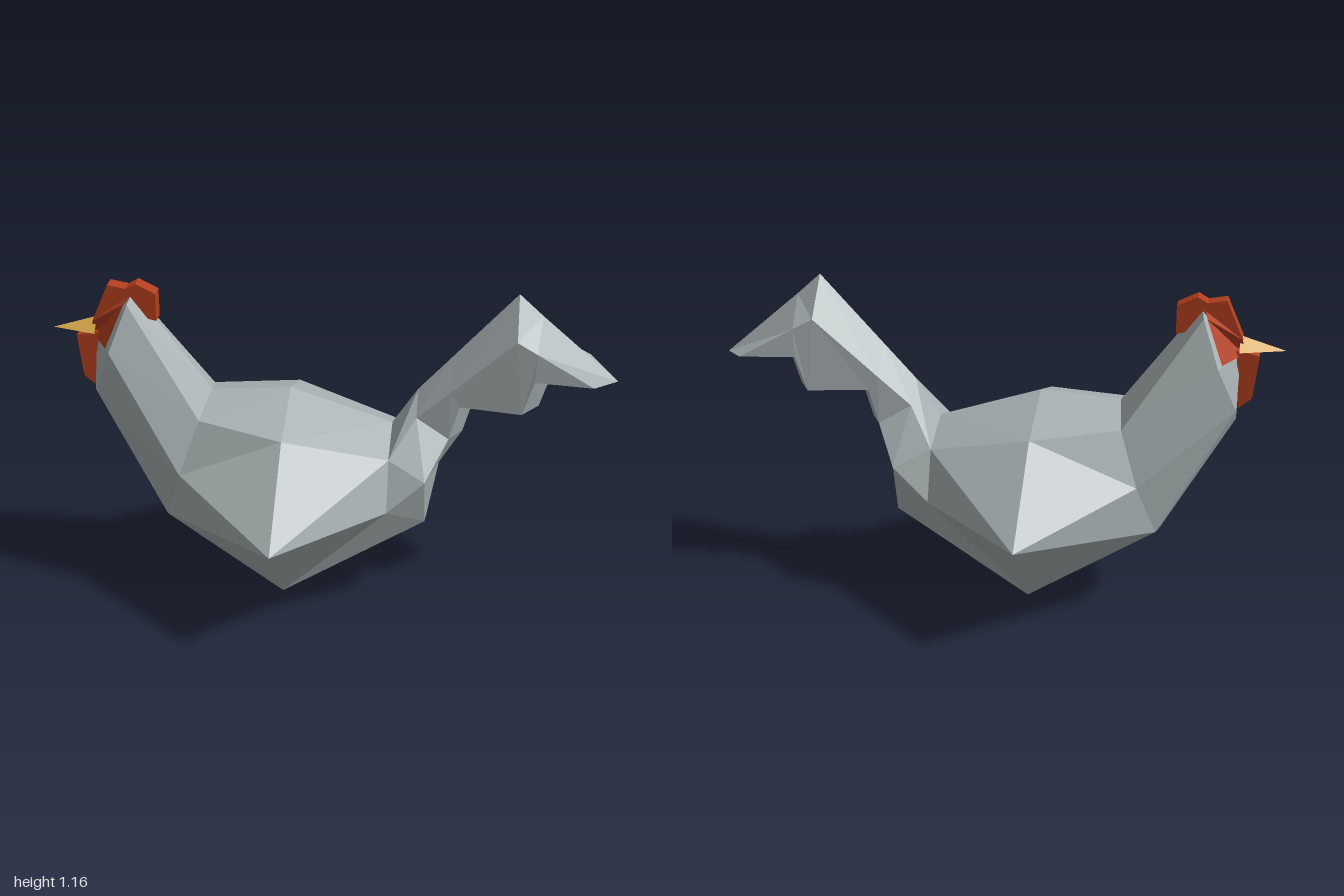
import * as THREE from 'three';

const mat = (name, color) => {
  const m = new THREE.MeshStandardMaterial({ color, flatShading: true });
  m.name = name;
  return m;
};

// Faceted mesh from +z half polygons (counter-clockwise), mirrored across z = 0
function mirrored(name, polys, material) {
  const pos = [];
  const tri = (a, b, c) => {
    const [p, q, r] = [a, b, c].map((v) => new THREE.Vector3(...v));
    if (q.clone().sub(p).cross(r.clone().sub(p)).length() < 1e-6) return;
    pos.push(...a, ...b, ...c);
    for (const [x, y, z] of [a, c, b]) pos.push(x, y, -z);
  };
  for (const p of polys) for (let i = 1; i < p.length - 1; i++) tri(p[0], p[i], p[i + 1]);
  const g = new THREE.BufferGeometry();
  g.setAttribute('position', new THREE.Float32BufferAttribute(pos, 3));
  g.computeVertexNormals();
  const mesh = new THREE.Mesh(g, material);
  mesh.name = name;
  return mesh;
}

// Quads between half sections; sections run along +x, points run bottom to top
function loft(sections) {
  const polys = [];
  for (let i = 0; i < sections.length - 1; i++) {
    const [s, t] = [sections[i], sections[i + 1]];
    for (let j = 0; j < s.length - 1; j++) polys.push([s[j], t[j], t[j + 1], s[j + 1]]);
  }
  return polys;
}

// Flat plate cut from an outline in the xy plane
function plate(name, outline, depth, material) {
  const shape = new THREE.Shape(outline.map((p) => new THREE.Vector2(...p)));
  const g = new THREE.ExtrudeGeometry(shape, { depth, bevelEnabled: false });
  g.translate(0, 0, -depth / 2);
  const mesh = new THREE.Mesh(g, material);
  mesh.name = name;
  return mesh;
}

export function createModel() {
  const feather = mat('greyFeather', 0xa8b1b2);
  const red = mat('combRed', 0xb23e1e);
  const gold = mat('beakGold', 0xdaaa4c);
  const group = new THREE.Group();
  group.name = 'hen';

  // Body: face point, neck, chest, widest section, rump
  const facePoint = [-0.845, 0.95, 0];
  const neck = [[-0.84, 0.71, 0], [-0.84, 0.77, 0.08], [-0.775, 0.93, 0.13], [-0.715, 1.09, 0.068], [-0.705, 1.12, 0]];
  const chest = [[-0.59, 0.27, 0], [-0.585, 0.32, 0.15], [-0.52, 0.52, 0.235], [-0.455, 0.705, 0.17], [-0.435, 0.755, 0]];
  const belly = [[-0.15, 0, 0], [-0.15, 0.095, 0.27], [-0.15, 0.415, 0.605], [-0.15, 0.685, 0.27], [-0.15, 0.775, 0]];
  const rump = [[0.345, 0.29, 0], [0.345, 0.34, 0.15], [0.215, 0.415, 0.245], [0.215, 0.59, 0.18], [0.215, 0.655, 0]];

  // Tail sections: under centre, lower side, upper side, ridge
  const tailRoot = [[0.385, 0.505, 0], [0.345, 0.525, 0.215], rump[3], rump[4]];
  const tip = [0.91, 0.885, 0.15], tipEnd = [1, 0.85, 0];
  const tail = [
    tailRoot,
    [[0.465, 0.635, 0], [0.42, 0.645, 0.1], [0.305, 0.715, 0.085], [0.305, 0.79, 0]],
    [[0.505, 0.77, 0], [0.455, 0.77, 0.1], [0.42, 0.82, 0.098], [0.42, 0.915, 0]],
    [[0.73, 0.745, 0], [0.67, 0.765, 0.13], [0.645, 1.03, 0.125], [0.645, 1.16, 0]],
    [[0.77, 0.87, 0], [0.71, 0.89, 0.135], [0.715, 0.992, 0.132], [0.73, 1.083, 0]],
    [tipEnd, tip, tip, tipEnd],
  ];

  // Rump faces closing the body under the tail
  const rumpFaces = [
    [rump[2], rump[1], tailRoot[1]],
    [rump[2], tailRoot[1], rump[3]],
    [rump[0], tailRoot[0], tailRoot[1], rump[1]],
  ];
  const bodyFaces = loft([neck.map(() => facePoint), neck, chest, belly, rump]);
  group.add(mirrored('body', [...bodyFaces, ...rumpFaces], feather));
  group.add(mirrored('tail', loft(tail), feather));

  // Red face around the beak
  group.add(mirrored('face', loft([
    [[-0.855, 0.95, 0], [-0.85, 1.01, 0.03], [-0.79, 1.13, 0]],
    [[-0.787, 0.945, 0.123], [-0.727, 1.09, 0.065], [-0.715, 1.12, 0]],
  ]), red));

  // Comb and wattle
  group.add(plate('comb', [[-0.85, 1.01], [-0.72, 1.04], [-0.62, 1.02], [-0.62, 1.12],
    [-0.69, 1.155], [-0.725, 1.135], [-0.79, 1.147]], 0.06, red));
  group.add(plate('wattle', [[-0.91, 0.955], [-0.892, 0.8], [-0.845, 0.76], [-0.83, 0.97]], 0.06, red));

  // Beak
  const beakTip = [-1, 0.97, 0];
  group.add(mirrored('beak', loft([
    [beakTip, beakTip, beakTip],
    [[-0.84, 0.955, 0], [-0.84, 0.97, 0.053], [-0.84, 1.018, 0]],
  ]), gold));

  return group;
}
